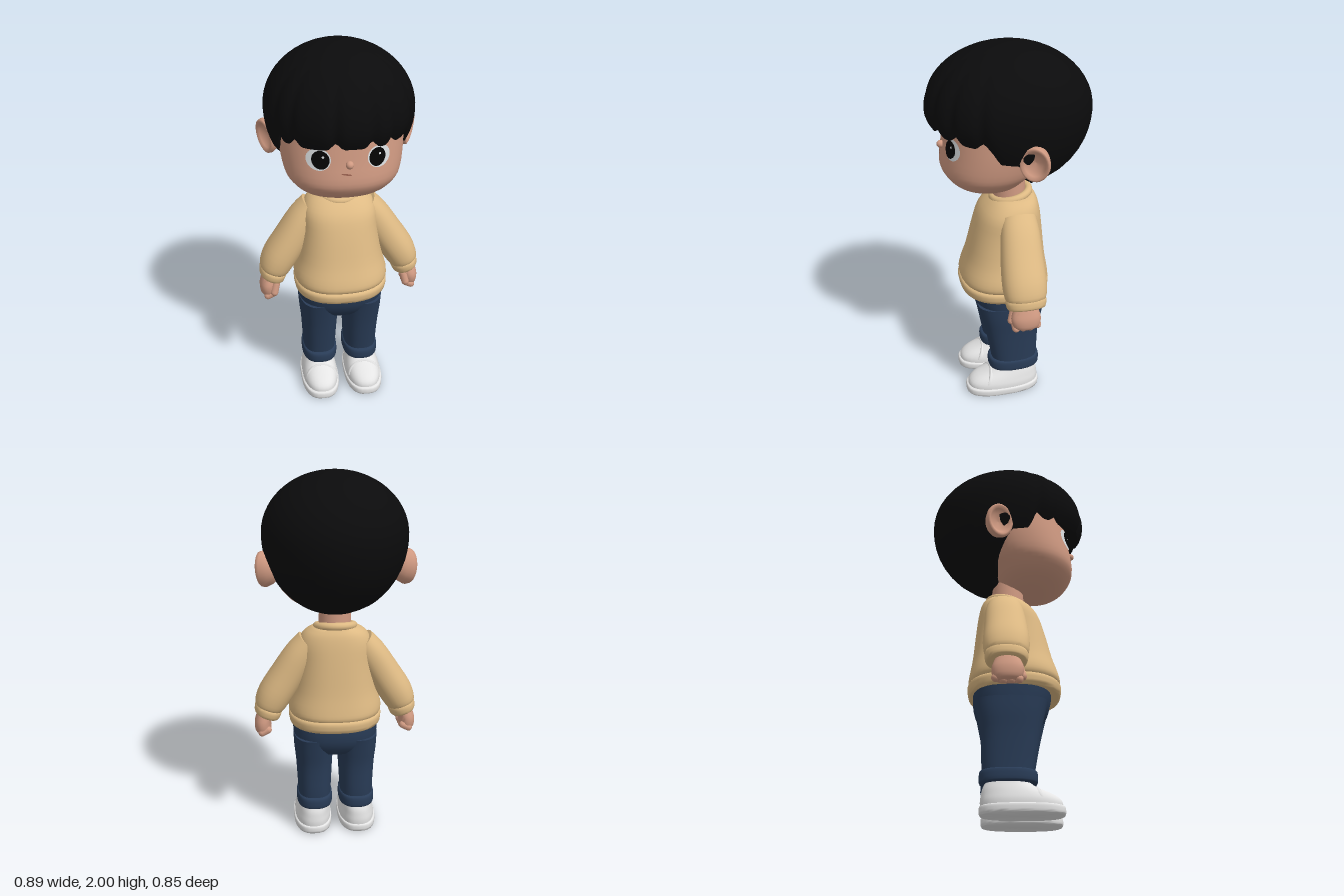
import * as THREE from 'three';
import { toCreasedNormals } from 'three/addons/utils/BufferGeometryUtils.js';

const mat = (name, color) => {
  const m = new THREE.MeshStandardMaterial({ color });
  m.name = name;
  return m;
};

// Closed skin over rings of points, listed bottom to top
function skin(rings, crease = 0.9) {
  const n = rings[0].length, pos = [], idx = [];
  rings.forEach(r => r.forEach(p => pos.push(p.x, p.y, p.z)));
  for (let i = 0; i < rings.length - 1; i++)
    for (let j = 0; j < n; j++) {
      const k = (j + 1) % n, a = i * n, b = a + n;
      idx.push(a + j, a + k, b + k, a + j, b + k, b + j);
    }
  [0, rings.length - 1].forEach((i, top) => {
    const c = new THREE.Vector3();
    rings[i].forEach(p => c.addScaledVector(p, 1 / n));
    const ci = pos.length / 3;
    pos.push(c.x, c.y, c.z);
    for (let j = 0; j < n; j++) {
      const a = i * n + j, b = i * n + (j + 1) % n;
      top ? idx.push(ci, a, b) : idx.push(ci, b, a);
    }
  });
  const g = new THREE.BufferGeometry();
  g.setAttribute('position', new THREE.Float32BufferAttribute(pos, 3));
  g.setIndex(idx);
  return toCreasedNormals(g, crease);
}

// Section rows: [y, half width, front z, back z, centre x, tilt]
function densify(rows, sub) {
  const full = rows.map(r => [r[0], r[1], r[2], r[3], r[4] || 0, r[5] || 0]), out = [];
  for (let i = 0; i < full.length - 1; i++) {
    const [a, b, c, d] = [-1, 0, 1, 2].map(k => full[Math.min(full.length - 1, Math.max(0, i + k))]);
    for (let s = 0; s < sub; s++) {
      const t = s / sub;
      out.push(b.map((v, q) => 0.5 * (2 * v + (c[q] - a[q]) * t + (2 * a[q] - 5 * v + 4 * c[q] - d[q]) * t * t
        + (3 * v - a[q] - 3 * c[q] + d[q]) * t ** 3)));
    }
  }
  out.push(full[full.length - 1]);
  return out;
}

function loft(rows, { side = 1, power = 2.2, sub = 3, seg = 32 } = {}) {
  const pw = v => Math.sign(v) * Math.abs(v) ** (2 / power);
  return skin(densify(rows, sub).map(([y, rx, zf, zb, cx, tilt]) =>
    Array.from({ length: seg }, (_, j) => {
      const a = j / seg * Math.PI * 2, px = pw(Math.sin(a)) * rx, t = tilt * side;
      return new THREE.Vector3(cx * side + px * Math.cos(t), y + px * Math.sin(t),
        (zf + zb) / 2 + pw(Math.cos(a)) * (zf - zb) / 2);
    })));
}

const headRows = [[1.25, 0.05, 0.15, 0.04], [1.265, 0.13, 0.22, 0], [1.3, 0.215, 0.3, -0.05], [1.35, 0.268, 0.345, -0.1],
  [1.4, 0.295, 0.36, -0.15], [1.5, 0.312, 0.347, -0.2], [1.6, 0.318, 0.335, -0.25], [1.7, 0.32, 0.32, -0.27],
  [1.8, 0.27, 0.26, -0.25], [1.88, 0.1, 0.12, -0.1]];

// Depth of the face at x, y
function faceZ(x, y) {
  const d = densify(headRows, 3);
  const i = Math.max(0, d.findIndex((r, k) => k < d.length - 1 && d[k + 1][0] >= y));
  const t = (y - d[i][0]) / (d[i + 1][0] - d[i][0]);
  const [, rx, zf, zb] = d[i].map((v, q) => v + (d[i + 1][q] - v) * t);
  return (zf + zb) / 2 + (zf - zb) / 2 * Math.max(0, 1 - Math.abs(x / rx) ** 2.2) ** (1 / 2.2);
}

// Thin oval laid on the face
function facePatch(cx, cy, rx, ry, lift, turn = 0) {
  const g = new THREE.RingGeometry(0.001, 1, 32, 5).scale(rx, ry, 1).rotateZ(turn).translate(cx, cy, 0);
  const p = g.attributes.position;
  for (let i = 0; i < p.count; i++) p.setZ(i, faceZ(p.getX(i), p.getY(i)) + lift);
  g.computeVertexNormals();
  return g;
}

// Rounded hair mass with a lower edge that varies around the head
function hairGeometry() {
  // degrees from the front, edge height, lower curve depth, underside inset
  const edge = [[0, 1.6, 0.22, 0.8], [50, 1.575, 0.23, 0.8], [66, 1.57, 0.28, 0.8], [72, 1.5, 0.38, 0.8], [86, 1.49, 0.42, 0.75],
    [96, 1.4, 0.42, 0.7], [108, 1.32, 0.42, 0.5], [130, 1.28, 0.42, 0.35], [180, 1.268, 0.42, 0.3]];
  const notches = [-65, -47, -12, 17, 37, 60];
  const seg = 144, steps = 22, rings = [];
  for (let i = -1; i <= steps; i++) rings.push(Array.from({ length: seg }, (_, j) => {
    const a = (j / seg * 2 - 1) * Math.PI, deg = a * 180 / Math.PI, ad = Math.abs(deg);
    const k = Math.max(1, edge.findIndex(e => e[0] >= ad - 1e-6)), e0 = edge[k - 1], e1 = edge[k];
    const [, low, depth, inset] = e0.map((v, q) => v + (e1[q] - v) * (ad - e0[0]) / (e1[0] - e0[0]));
    const notch = Math.max(...notches.map(n => Math.exp(-(((deg - n) / 4) ** 2))));
    const bottom = low + 0.035 * notch, t = Math.max(0, i) / steps;
    const y = bottom + (2 - bottom) * Math.sin(t * 0.97 * Math.PI / 2);
    const h = y > 1.68 ? (y - 1.68) / 0.32 : (1.68 - y) / depth;
    const r = Math.sqrt(Math.max(0, 1 - h * h)) * (1 - 0.055 * notch * (1 - t) ** 1.5) * (i < 0 ? inset : 1);
    return new THREE.Vector3(0.38 * r * Math.sin(a), y + (i < 0 ? 0.015 : 0), 0.428 * r * Math.cos(a) + 0.03 * t * t * r);
  }));
  return skin(rings, 0.8);
}

export function createModel() {
  const model = new THREE.Group();
  model.name = 'boyFigure';
  const skinTone = mat('skin', 0xd09a82), black = mat('hairBlack', 0x0b0b0c), knit = mat('sweaterTan', 0xdeba84);
  const denim = mat('trouserNavy', 0x293c57), shoeWhite = mat('shoeWhite', 0xe4e4e4), eyeWhite = mat('eyeWhite', 0xdadee0);
  const pupil = mat('pupilBlack', 0x050505), lip = mat('mouthBrown', 0x9a6250);
  const add = (name, geo, m, parent = model) => {
    const mesh = new THREE.Mesh(geo, m);
    mesh.name = name;
    parent.add(mesh);
    return mesh;
  };

  // Head
  add('head', loft(headRows, { seg: 48 }), skinTone);
  add('hair', hairGeometry(), black);
  add('neck', new THREE.CylinderGeometry(0.085, 0.09, 0.2, 28).translate(0, 1.2, 0), skinTone);
  add('nose', new THREE.SphereGeometry(0.022, 16, 12).scale(0.9, 0.9, 1).translate(0, 1.5, 0.353), skinTone);
  add('mouth', facePatch(-0.015, 1.452, 0.026, 0.004, 0.004, -0.15), lip);

  // Trousers seat, sweater body, hem and collar
  add('trouserSeat', loft([[0.48, 0.15, 0.15, -0.12], [0.52, 0.215, 0.185, -0.155], [0.58, 0.23, 0.215, -0.178],
    [0.68, 0.235, 0.235, -0.18]], { power: 2.6 }), denim);
  add('sweaterBody', loft([[0.69, 0.235, 0.255, -0.19], [0.715, 0.252, 0.275, -0.205], [0.76, 0.25, 0.268, -0.2],
    [0.85, 0.225, 0.238, -0.185], [1.0, 0.203, 0.2, -0.17], [1.1, 0.197, 0.165, -0.158], [1.16, 0.165, 0.115, -0.145],
    [1.19, 0.12, 0.075, -0.13]], { power: 2.4, seg: 40 }), knit);
  add('sweaterHem', loft([[0.638, 0.24, 0.262, -0.196], [0.65, 0.25, 0.275, -0.206], [0.69, 0.254, 0.28, -0.21],
    [0.705, 0.24, 0.262, -0.198]], { power: 2.4, seg: 40 }), knit);
  add('collar', new THREE.TorusGeometry(0.098, 0.021, 12, 36).rotateX(Math.PI / 2 + 0.2).translate(0, 1.188, -0.008), knit);

  for (const side of [1, -1]) {
    const s = side > 0 ? 'left' : 'right';

    // Eye and brow
    add(s + 'EyeWhite', facePatch(side * 0.147, 1.525, 0.058, 0.055, 0.004), eyeWhite);
    add(s + 'Pupil', facePatch(side * 0.138, 1.525, 0.042, 0.046, 0.008), pupil);
    add(s + 'EyeGlint', facePatch(side * 0.138 + 0.012, 1.54, 0.006, 0.006, 0.01), eyeWhite);
    add(s + 'Brow', facePatch(side * 0.13, 1.627, 0.035, 0.006, 0.006, side * -0.2), black);

    // Cupped ear
    const cup = [[0.001, -0.06], [0.05, -0.045], [0.08, -0.01], [0.095, 0.025], [0.092, 0.043], [0.08, 0.048],
      [0.066, 0.036], [0.045, 0.018], [0.001, 0.012]].map(p => new THREE.Vector2(...p));
    add(s + 'Ear', new THREE.LatheGeometry(cup, 28).rotateZ(-side * Math.PI / 2).scale(1, 1, 0.8).rotateY(-side * 0.5)
      .rotateZ(-side * 0.12).translate(side * 0.342, 1.512, -0.055), skinTone);

    // Sleeve and cuff
    add(s + 'Sleeve', loft([[0.735, 0.07, 0.092, -0.1, 0.367, 0.36], [0.755, 0.083, 0.106, -0.114, 0.358, 0.38],
      [0.82, 0.092, 0.112, -0.122, 0.325, 0.45], [0.92, 0.09, 0.105, -0.12, 0.262, 0.55], [1.03, 0.083, 0.09, -0.118, 0.195, 0.65],
      [1.1, 0.07, 0.075, -0.11, 0.145, 0.8]], { side }), knit);
    add(s + 'SleeveCuff', loft([[0.692, 0.06, 0.085, -0.092, 0.377, 0.36], [0.7, 0.072, 0.098, -0.106, 0.374, 0.36],
      [0.735, 0.076, 0.104, -0.112, 0.364, 0.36], [0.75, 0.066, 0.09, -0.1, 0.36, 0.36]], { side }), knit);

    // Hand with curled fingers and thumb
    const hand = new THREE.Group();
    hand.name = s + 'Hand';
    model.add(hand);
    add('palm', loft([[0.585, 0.03, 0.05, -0.05, 0.395], [0.605, 0.043, 0.072, -0.07, 0.398], [0.65, 0.045, 0.082, -0.075, 0.398],
      [0.69, 0.043, 0.07, -0.065, 0.388], [0.73, 0.04, 0.05, -0.05, 0.375]], { side }), skinTone, hand);
    for (let i = 0; i < 4; i++)
      add('finger', new THREE.CapsuleGeometry(0.021, 0.035, 4, 10).rotateZ(side * 1.1)
        .translate(side * 0.388, 0.6 + (i === 3 ? 0.008 : 0), 0.058 - i * 0.038), skinTone, hand);
    add('thumb', new THREE.CapsuleGeometry(0.021, 0.05, 4, 12).rotateX(-0.25).rotateZ(side * 0.25)
      .translate(side * 0.362, 0.645, 0.068), skinTone, hand);

    // Trouser leg and turn-up
    add(s + 'Leg', loft([[0.18, 0.09, 0.125, -0.12, 0.118], [0.25, 0.092, 0.136, -0.128, 0.118], [0.4, 0.1, 0.163, -0.135, 0.118],
      [0.5, 0.108, 0.185, -0.153, 0.12], [0.58, 0.11, 0.205, -0.17, 0.121]], { side, power: 2.5 }), denim);
    add(s + 'TurnUp', loft([[0.155, 0.092, 0.138, -0.132, 0.118], [0.165, 0.099, 0.148, -0.14, 0.118],
      [0.21, 0.098, 0.148, -0.139, 0.118], [0.22, 0.09, 0.134, -0.126, 0.118]], { side, power: 2.5 }), denim);

    // Shoe, strap and sole
    add(s + 'Shoe', loft([[0.03, 0.1, 0.268, -0.13, 0.125], [0.065, 0.1, 0.266, -0.133, 0.125], [0.095, 0.093, 0.235, -0.13, 0.124],
      [0.125, 0.084, 0.17, -0.125, 0.122], [0.15, 0.076, 0.125, -0.115, 0.12], [0.17, 0.07, 0.11, -0.105, 0.12]],
      { side, power: 2.4 }), shoeWhite);
    add(s + 'ShoeStrap', new THREE.TorusGeometry(0.082, 0.011, 8, 20, Math.PI).scale(1, 0.95, 1.6).rotateX(-0.45)
      .translate(side * 0.123, 0.062, 0.165), shoeWhite);
    add(s + 'Sole', loft([[0, 0.1, 0.27, -0.13, 0.126], [0.008, 0.106, 0.28, -0.137, 0.126], [0.038, 0.107, 0.28, -0.138, 0.126],
      [0.045, 0.1, 0.27, -0.13, 0.126]], { side, power: 2.6 }), shoeWhite);
  }
  return model;
}
